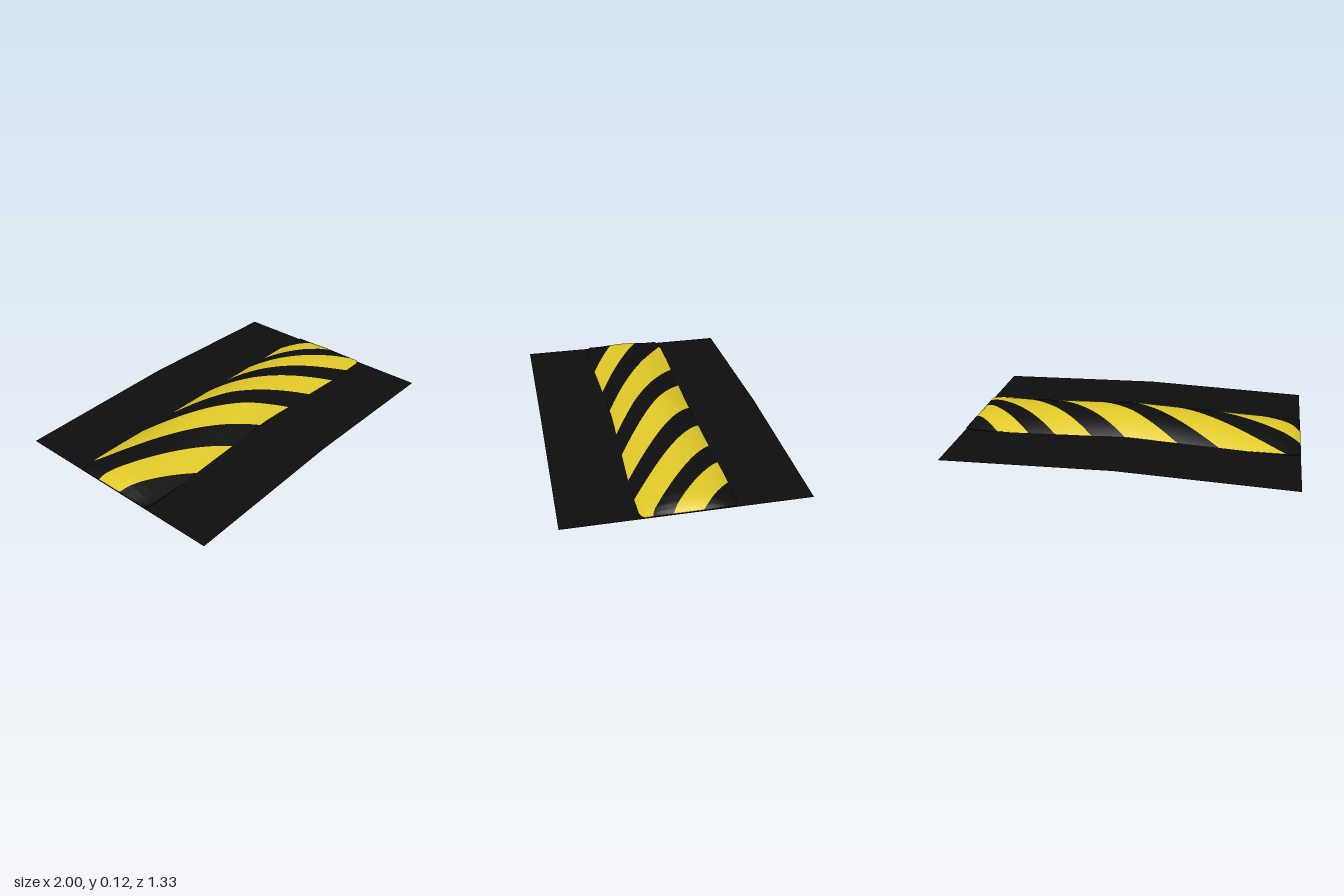
import * as THREE from 'three';

const RIM = 0.008, FLOOR = 0.001;

// stripe borders: x at z = -0.25 and x at z = +0.25
const BORDERS = [
  [-9, -9], [-1.62, -0.63], [-1.25, -0.3], [-0.9, -0.03], [-0.53, 0.23], [-0.3, 0.43], [0, 0.66],
  [0.21, 0.83], [0.44, 1.05], [0.61, 1.18], [0.81, 1.37], [9, 9],
];

// ridge height against distance from the middle
const RIDGE = [[0, 0.117], [0.2, 0.107], [0.4, 0.095], [0.6, 0.083], [0.8, 0.068], [0.9, 0.056], [0.95, 0.042], [0.98, 0.025], [1, RIM]];

function ridge(x) {
  const a = Math.abs(x);
  let i = 1;
  while (i < RIDGE.length - 1 && a > RIDGE[i][0]) i++;
  const [x0, y0] = RIDGE[i - 1], [x1, y1] = RIDGE[i];
  return THREE.MathUtils.mapLinear(a, x0, x1, y0, y1);
}

// half width of the hump, with rounded corners at the ends
function halfWidth(x) {
  const a = Math.abs(x), c = Math.max(0, (a - 0.95) / 0.05);
  return 0.258 + 0.01 * (1 - a) - 0.02 * c * c;
}

// surface patch from a rule f(u, v) -> [x, y, z]
function patch(f, nu, nv) {
  const pos = [], index = [];
  for (let j = 0; j <= nv; j++) {
    for (let i = 0; i <= nu; i++) pos.push(...f(i / nu, j / nv));
  }
  for (let j = 0; j < nv; j++) {
    for (let i = 0; i < nu; i++) {
      const a = j * (nu + 1) + i, b = a + 1, c = a + nu + 1, d = c + 1;
      index.push(a, c, b, b, c, d);
    }
  }
  const g = new THREE.BufferGeometry();
  g.setAttribute('position', new THREE.Float32BufferAttribute(pos, 3));
  g.setIndex(index);
  g.computeVertexNormals();
  return g;
}

export function createModel() {
  const group = new THREE.Group();
  const black = new THREE.MeshStandardMaterial({ color: 0x0d0d0d, side: THREE.DoubleSide });
  black.name = 'black';
  const yellow = new THREE.MeshStandardMaterial({ color: 0xdfc727 });
  yellow.name = 'yellow';
  const add = (name, geometry, material) => {
    const mesh = new THREE.Mesh(geometry, material);
    mesh.name = name;
    group.add(mesh);
  };

  // road sheet, slightly raised along its middle line
  const road = new THREE.PlaneGeometry(2, 1.333, 2, 1).rotateX(-Math.PI / 2);
  const p = road.attributes.position;
  for (let i = 0; i < p.count; i++) p.setY(i, 0.027 * (1 - Math.abs(p.getX(i))));
  road.computeVertexNormals();
  add('roadSheet', road, black);

  // hump and flat underside, split into diagonal bands
  for (let k = 0; k < BORDERS.length - 1; k++) {
    const isYellow = k % 2 === 1;
    const material = isYellow ? yellow : black;
    const name = isYellow ? 'yellowBand' : 'blackBand';
    const plan = (u, v, limit) => {
      const t = 2 * v - 1, s = (t * 0.262 + 0.25) / 0.5;
      const edge = ([a, b]) => THREE.MathUtils.clamp(a + (b - a) * s, -limit, limit);
      const x = THREE.MathUtils.lerp(edge(BORDERS[k]), edge(BORDERS[k + 1]), u);
      return [x, t * halfWidth(x), t];
    };
    add(name + 'Top', patch((u, v) => {
      const [x, z, t] = plan(u, v, 1);
      return [x, RIM + (ridge(x) - RIM) * (1 - t * t), z];
    }, 24, 48), material);
    add(name + 'Underside', patch((u, v) => {
      const [x, z] = plan(u, 1 - v, 0.97);
      return [x, FLOOR, z];
    }, 8, 48), material);
  }

  // thin rim around the foot of the hump
  for (const s of [-1, 1]) {
    add('sideRim', patch((u, v) => {
      const x = 2 * u - 1;
      return [x, FLOOR + (RIM - FLOOR) * v, s * halfWidth(x)];
    }, 80, 1), black);
    add('endRim', patch((u, v) => [s, FLOOR + (RIM - FLOOR) * v, (2 * u - 1) * halfWidth(1)], 1, 1), black);
  }
  return group;
}
